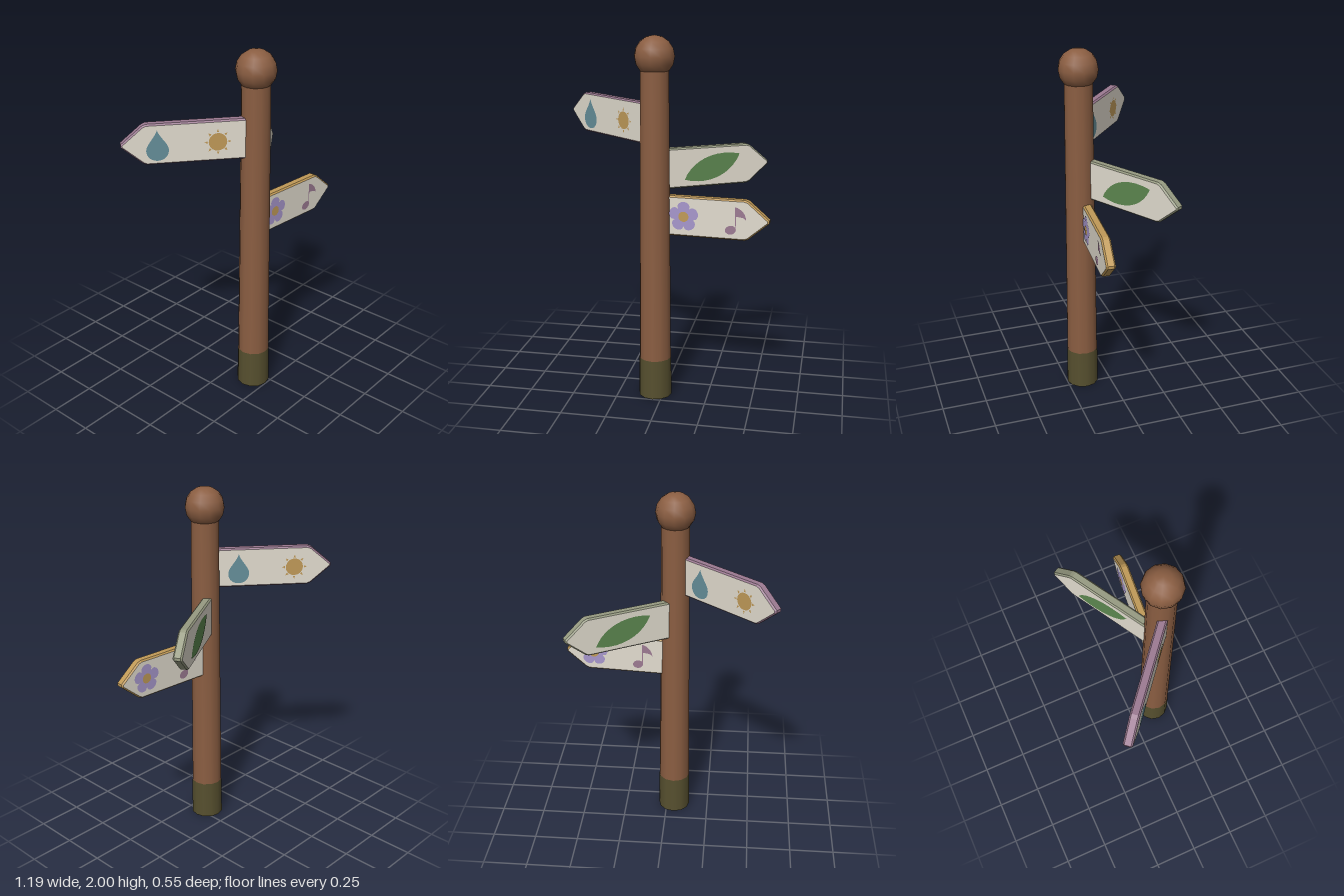
import * as THREE from 'three';

const paint = (name, color) => {
  const m = new THREE.MeshStandardMaterial({ color });
  m.name = name;
  return m;
};

const THICK = 0.05, HALF_H = 0.11, POINT = 0.13, BEVEL = 0.008;

export function createModel() {
  const wood = paint('brown wood', 0x8b5e42);
  const moss = paint('moss', 0x57502f);
  const cream = paint('cream', 0xe2dccf);
  const mauve = paint('mauve', 0x9c7a92);
  const sage = paint('sage', 0x979b82);
  const gold = paint('gold', 0xc09a58);
  const blue = paint('water blue', 0x658f9a);
  const green = paint('leaf green', 0x5d8850);
  const lilac = paint('lilac', 0xa797cc);

  const model = new THREE.Group();
  model.name = 'signpost';
  const post = new THREE.Group();
  post.name = 'postAndSigns';
  post.position.set(-0.045, 0, 0.155);
  model.add(post);

  const add = (parent, name, geometry, material, x = 0, y = 0, z = 0) => {
    const mesh = new THREE.Mesh(geometry, material);
    mesh.name = name;
    mesh.position.set(x, y, z);
    parent.add(mesh);
    return mesh;
  };

  // Tapered post, mossy foot and round finial
  add(post, 'pole', new THREE.CylinderGeometry(0.077, 0.09, 1.84, 12), wood, 0, 0.92);
  add(post, 'mossyFoot', new THREE.CylinderGeometry(0.0905, 0.092, 0.225, 12, 1, true), moss, 0, 0.1125);
  add(post, 'finial', new THREE.SphereGeometry(0.108, 12, 8), wood, 0, 1.892);

  // Flat picture pieces, drawn around their own origin
  const flat = (shape) => new THREE.ShapeGeometry(shape, 10);
  const disc = (r) => new THREE.CircleGeometry(r, 20);

  const drop = new THREE.Shape();
  drop.moveTo(0, 0.085);
  drop.bezierCurveTo(-0.015, 0.04, -0.058, 0.01, -0.058, -0.025);
  drop.bezierCurveTo(-0.058, -0.1, 0.058, -0.1, 0.058, -0.025);
  drop.bezierCurveTo(0.058, 0.01, 0.015, 0.04, 0, 0.085);

  const ray = new THREE.Shape([[0.053, -0.007], [0.07, 0], [0.053, 0.007]]
    .map(([x, y]) => new THREE.Vector2(x, y)));

  const leaf = new THREE.Shape();
  leaf.moveTo(-0.16, -0.065);
  leaf.bezierCurveTo(-0.12, 0.03, 0.0, 0.095, 0.16, 0.06);
  leaf.bezierCurveTo(0.11, -0.06, -0.03, -0.105, -0.16, -0.065);

  const petals = new THREE.Shape();
  for (let i = 0; i < 60; i++) {
    const a = (i / 60) * Math.PI * 2;
    const r = 0.052 + 0.03 * Math.sqrt(Math.abs(Math.cos(2.5 * (a - Math.PI / 2))));
    petals[i ? 'lineTo' : 'moveTo'](r * Math.cos(a), r * Math.sin(a));
  }

  const flag = new THREE.Shape();
  flag.moveTo(0, 0.075);
  flag.bezierCurveTo(0.02, 0.07, 0.055, 0.05, 0.058, 0.005);
  flag.bezierCurveTo(0.045, 0.025, 0.02, 0.02, 0, 0.025);

  const drawWeather = (g) => {
    add(g, 'waterDrop', flat(drop), blue, 0.185, -0.007);
    add(g, 'sunDisc', disc(0.048), gold, 0.495, -0.005);
    for (let i = 0; i < 8; i++) {
      add(g, 'sunRay', flat(ray), gold, 0.495, -0.005).rotation.z = (i * Math.PI) / 4;
    }
  };
  const drawLeaf = (g) => add(g, 'leaf', flat(leaf), green, 0.33, 0);
  const drawGarden = (g) => {
    add(g, 'flowerPetals', flat(petals), lilac, 0.16, 0);
    add(g, 'flowerCentre', disc(0.028), gold, 0.16, 0, 0.002);
    const head = add(g, 'noteHead', disc(0.03), mauve, 0.417, -0.055);
    head.scale.y = 0.8;
    head.rotation.z = 0.3;
    add(g, 'noteStem', new THREE.PlaneGeometry(0.005, 0.125), mauve, 0.443, 0.008);
    add(g, 'noteFlag', flat(flag), mauve, 0.443, -0.003);
  };

  // Arrow board: its front face runs through the post axis
  const addSign = (name, length, y, degrees, edge, draw) => {
    const sign = new THREE.Group();
    sign.name = name;
    sign.position.y = y;
    sign.rotation.y = THREE.MathUtils.degToRad(degrees);
    post.add(sign);

    const outline = new THREE.Shape([
      [0, -HALF_H], [length - POINT, -HALF_H], [length - POINT + 0.02, -HALF_H + 0.008],
      [length, -0.008], [length, 0.008],
      [length - POINT + 0.02, HALF_H - 0.008], [length - POINT, HALF_H], [0, HALF_H],
    ].map(([x, v]) => new THREE.Vector2(x, v)));
    const board = new THREE.ExtrudeGeometry(outline, {
      depth: THICK - 2 * BEVEL, bevelThickness: BEVEL, bevelSize: BEVEL,
      bevelOffset: -BEVEL, bevelSegments: 1,
    });
    add(sign, 'board', board, [cream, edge], 0, 0, BEVEL - THICK);

    // The same picture reads left to right on both faces
    const front = new THREE.Group();
    front.name = 'frontPicture';
    front.position.z = 0.002;
    draw(front);
    const back = new THREE.Group();
    back.name = 'backPicture';
    back.position.set(length, 0, -THICK - 0.002);
    back.rotation.y = Math.PI;
    draw(back);
    sign.add(front, back);
  };

  addSign('upperSign', 0.7, 1.542, 140, mauve, drawWeather);
  addSign('middleSign', 0.665, 1.29, 30, sage, drawLeaf);
  addSign('lowerSign', 0.622, 1.045, -5, gold, drawGarden);

  return model;
}
